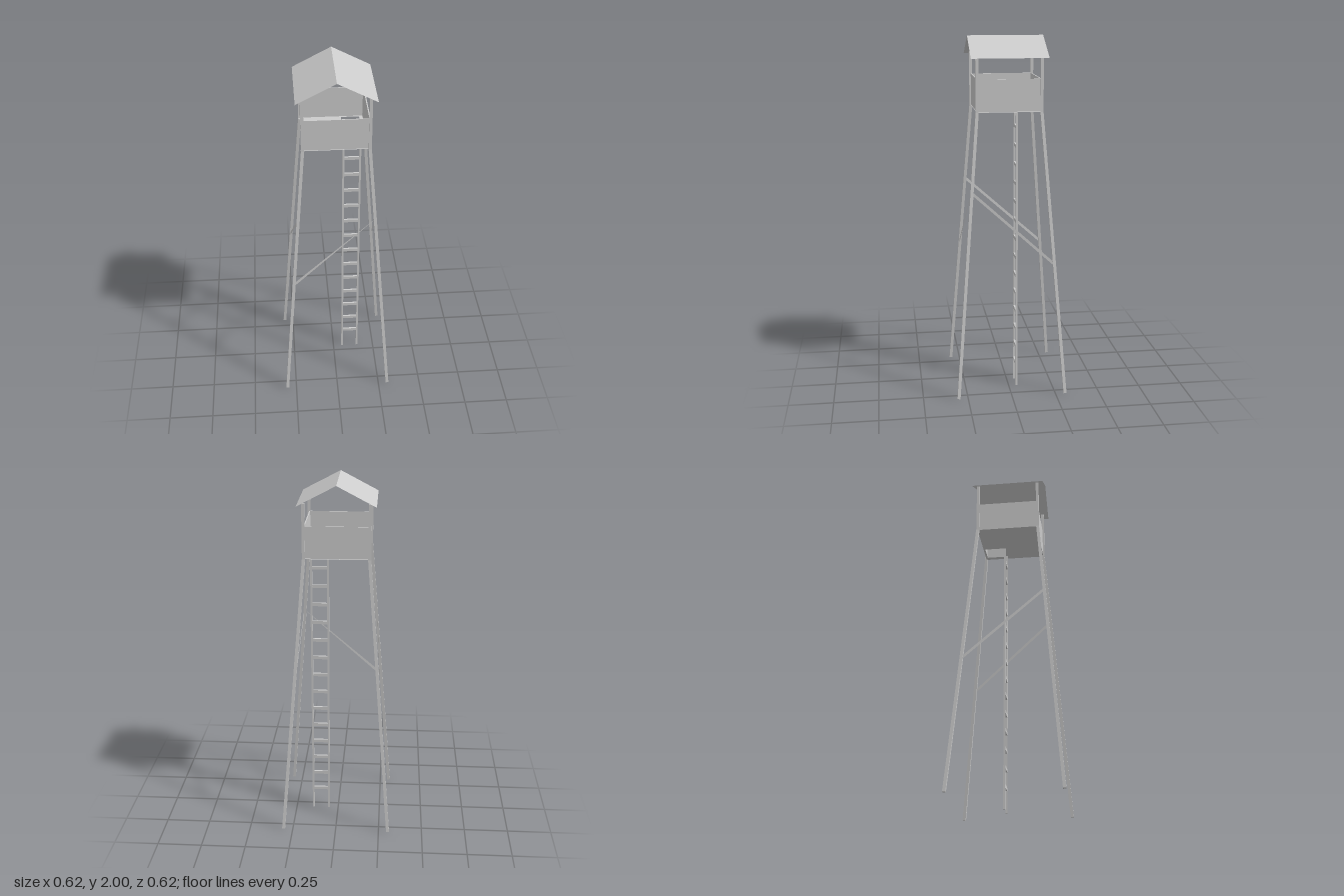
import * as THREE from 'three';

const timber = new THREE.MeshStandardMaterial({ color: 0xcccccc, side: THREE.DoubleSide });
timber.name = 'timber grey';

const V = (x, y, z) => new THREE.Vector3(x, y, z);

function add(parent, name, geometry) {
  const mesh = new THREE.Mesh(geometry, timber);
  mesh.name = name;
  parent.add(mesh);
  return mesh;
}

function box(parent, name, size, pos) {
  const mesh = add(parent, name, new THREE.BoxGeometry(...size));
  mesh.position.set(...pos);
  return mesh;
}

// Square bar running between two points
function bar(parent, name, a, b, w) {
  const mesh = add(parent, name, new THREE.BoxGeometry(w, a.distanceTo(b), w));
  mesh.position.copy(a).add(b).multiplyScalar(0.5);
  mesh.quaternion.setFromUnitVectors(V(0, 1, 0), b.clone().sub(a).normalize());
}

// Flat four-cornered sheet
function sheet(parent, name, corners) {
  const g = new THREE.BufferGeometry().setFromPoints(corners);
  g.setIndex([0, 1, 2, 0, 2, 3]);
  g.computeVertexNormals();
  return add(parent, name, g);
}

// Thin brace board, with its height at each end
function brace(parent, name, a, b, ha, hb) {
  const up = (p, h) => V(p.x, p.y + h / 2, p.z);
  sheet(parent, name, [up(a, -ha), up(b, -hb), up(b, hb), up(a, ha)]);
}

export function createModel() {
  const tower = new THREE.Group();
  tower.name = 'watchtower';
  const deckY = 1.6, post = 0.176;

  // Splayed legs with upright posts above the deck
  for (const sx of [-1, 1]) for (const sz of [-1, 1]) {
    bar(tower, 'leg', V(sx * 0.303, 0.006, sz * 0.303), V(sx * post, deckY, sz * post), 0.017);
    bar(tower, 'post', V(sx * post, deckY, sz * post), V(sx * post, 1.9, sz * post), 0.016);
  }

  // Diagonal braces on the two sides and the front
  for (const s of [-1, 1])
    brace(tower, 'sideBrace', V(s * 0.248, 0.76, -0.24), V(s * 0.215, 1.165, 0.208), 0.02, 0.02);
  brace(tower, 'frontBrace', V(-0.24, 0.765, 0.247), V(0.2, 1.165, 0.215), 0.022, 0.003);

  // Deck with a hatch above the ladder
  const outline = new THREE.Shape();
  outline.moveTo(-0.176, -0.176).lineTo(0.176, -0.176).lineTo(0.176, 0.176).lineTo(-0.176, 0.176);
  const hatch = new THREE.Path();
  hatch.moveTo(0.05, 0.05).lineTo(0.05, 0.165).lineTo(0.15, 0.165).lineTo(0.15, 0.05);
  outline.holes.push(hatch);
  const deck = add(tower, 'deck', new THREE.ShapeGeometry(outline));
  deck.rotation.x = -Math.PI / 2;
  deck.position.y = deckY;

  // Parapet walls
  for (const s of [-1, 1]) {
    box(tower, 'wall', [0.344, 0.175, 0.006], [0, 1.69, s * 0.172]);
    box(tower, 'wall', [0.006, 0.175, 0.344], [s * 0.172, 1.69, 0]);
  }

  // Gabled roof of two thin sheets
  for (const s of [-1, 1])
    sheet(tower, 'roofSlope', [
      V(0, 2, -s * 0.21), V(0, 2, s * 0.21), V(s * 0.21, 1.89, s * 0.21), V(s * 0.21, 1.89, -s * 0.21),
    ]);

  // Ladder
  const ladder = new THREE.Group();
  ladder.name = 'ladder';
  tower.add(ladder);
  for (const x of [0.055, 0.148])
    box(ladder, 'ladderRail', [0.011, deckY, 0.011], [x, deckY / 2, -0.045]);
  for (let i = 0; i < 14; i++)
    box(ladder, 'rung', [0.09, 0.018, 0.01], [0.1015, 0.132 + i * 0.1063, -0.045]);

  return tower;
}
